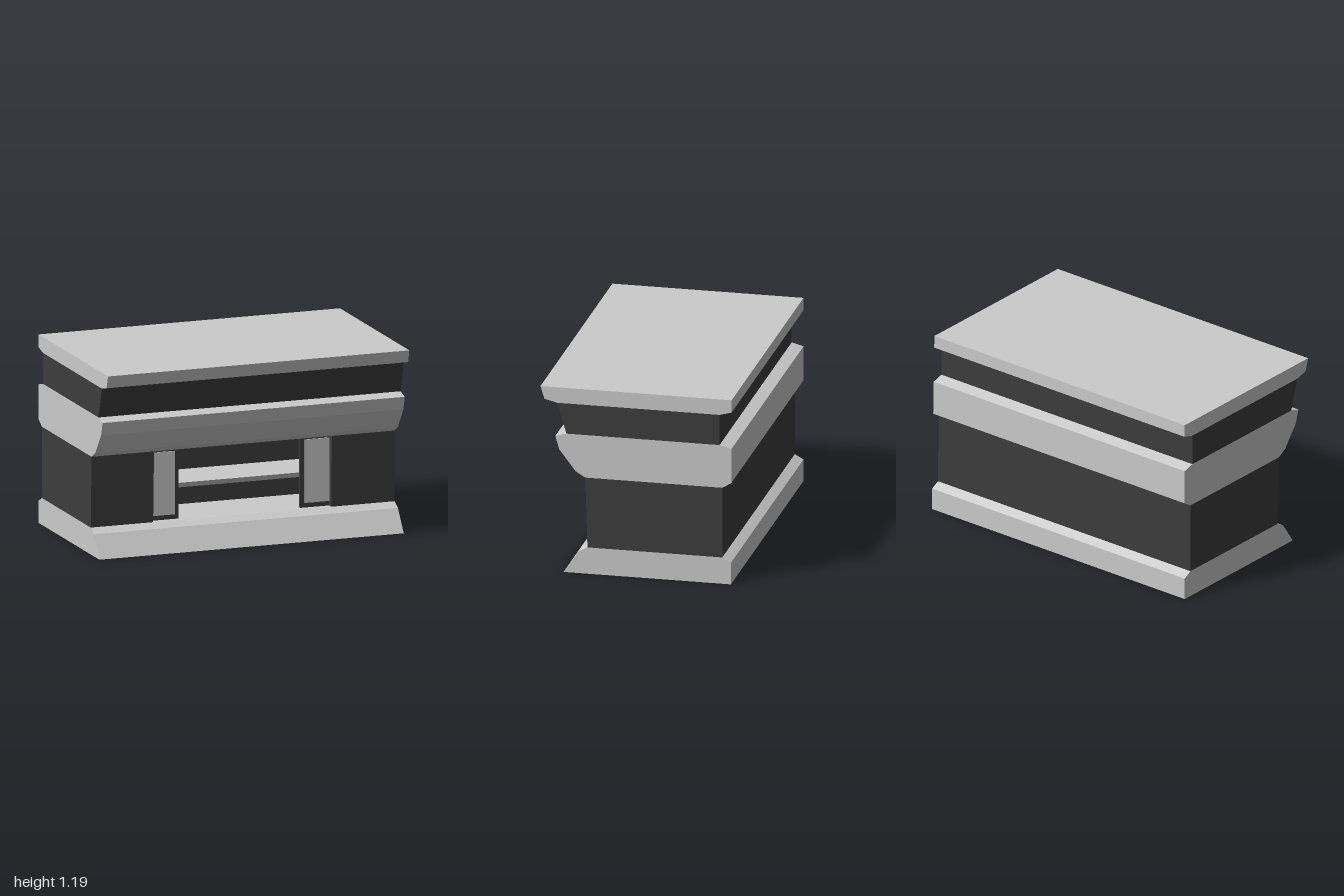
import * as THREE from 'three';

const LEAN = 0.0168; // the +x end leans inward slightly with height
const grey = new THREE.MeshStandardMaterial({ color: 0xcccccc });
const dark = new THREE.MeshStandardMaterial({ color: 0x3d3d3d });

// Extrudes a [z, y] side profile along x from x0 to x1.
function sideProfile(name, points, x0, x1, material) {
  const shape = new THREE.Shape(points.map(([z, y]) => new THREE.Vector2(-z, y)));
  const geometry = new THREE.ExtrudeGeometry(shape, { depth: x1 - x0, bevelEnabled: false });
  geometry.rotateY(Math.PI / 2).translate(x0, 0, 0);
  const p = geometry.attributes.position;
  for (let i = 0; i < p.count; i++) {
    if (p.getX(i) > 0.9) p.setX(i, p.getX(i) - LEAN * p.getY(i));
  }
  geometry.computeVertexNormals();
  const mesh = new THREE.Mesh(geometry, material);
  mesh.name = name;
  return mesh;
}

function box(name, x0, x1, y0, y1, z0, z1, material) {
  const mesh = new THREE.Mesh(new THREE.BoxGeometry(x1 - x0, y1 - y0, z1 - z0), material);
  mesh.position.set((x0 + x1) / 2, (y0 + y1) / 2, (z0 + z1) / 2);
  mesh.name = name;
  return mesh;
}

export function createModel() {
  const group = new THREE.Group();
  group.name = 'counter';
  const nicheL = -0.59, nicheR = 0.58, nicheBack = -0.09;

  // Full-width layers, bottom to top
  group.add(sideProfile('base', [
    [0.455, 0], [0.36, 0.14], [0.305, 0.17], [-0.545, 0.17], [-0.6, 0.14], [-0.6, 0],
  ], -1, 1, grey));
  group.add(sideProfile('middleBand', [
    [0.32, 0.62], [0.38, 0.655], [0.485, 0.79], [0.51, 0.875], [0.44, 0.895],
    [-0.525, 0.895], [-0.6, 0.875], [-0.6, 0.655], [-0.545, 0.62],
  ], -1, 1, grey));
  group.add(sideProfile('upperWall', [
    [0.44, 0.895], [0.5, 1.09], [-0.525, 1.09], [-0.525, 0.895],
  ], -1, 1, dark));
  group.add(sideProfile('topSlab', [
    [0.5, 1.09], [0.58, 1.11], [0.605, 1.19], [-0.6, 1.19], [-0.6, 1.11], [-0.525, 1.09],
  ], -1, 1, grey));

  // Lower wall: two end blocks and a back block around the niche
  const wall = [[0.305, 0.17], [0.32, 0.62], [-0.545, 0.62], [-0.545, 0.17]];
  group.add(sideProfile('lowerWallRight', wall, -1, nicheL, dark));
  group.add(sideProfile('lowerWallLeft', wall, nicheR, 1, dark));
  group.add(box('nicheBackWall', nicheL, nicheR, 0.17, 0.62, -0.545, nicheBack, dark));

  // Shelf with an undercut front edge
  group.add(sideProfile('shelf', [
    [0.25, 0.39], [0.225, 0.355], [nicheBack, 0.355], [nicheBack, 0.39],
  ], nicheL, nicheR, grey));

  // Recessed boards with a light panel at each end of the niche
  group.add(box('boardRight', nicheL, -0.41, 0.17, 0.62, 0.25, 0.268, dark));
  group.add(box('boardLeft', 0.39, nicheR, 0.17, 0.62, 0.25, 0.268, dark));
  group.add(box('panelRight', nicheL, -0.435, 0.2, 0.6, 0.255, 0.275, grey));
  group.add(box('panelLeft', 0.42, nicheR, 0.2, 0.6, 0.255, 0.275, grey));

  return group;
}
